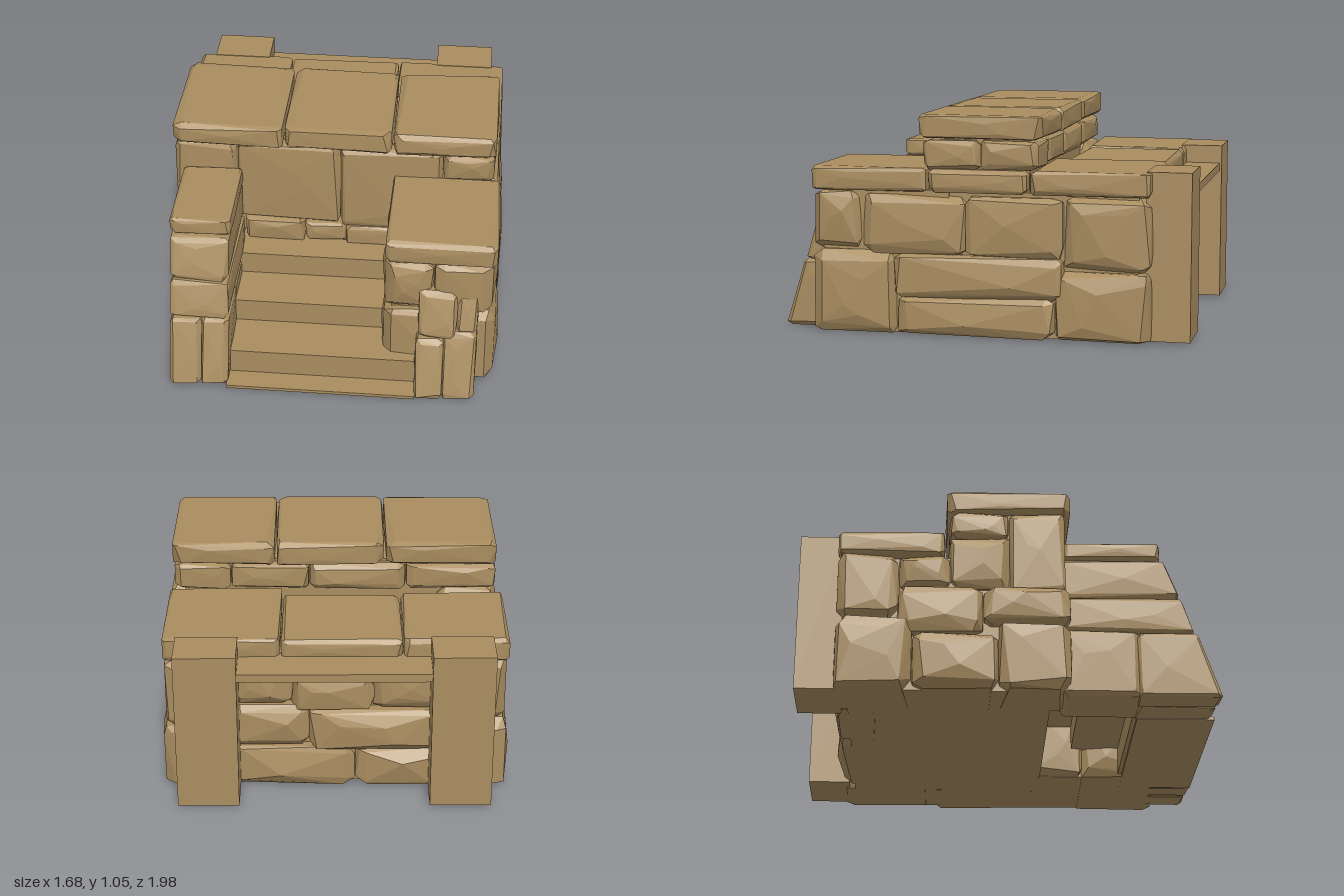
import * as THREE from 'three';
import { ConvexGeometry } from 'three/addons/geometries/ConvexGeometry.js';

export function createModel() {
  const model = new THREE.Group();
  const sandstone = new THREE.MeshStandardMaterial({ color: 0xa98d60, flatShading: true });
  sandstone.name = 'sandstone';

  let seed = 7;
  const rand = () => {
    seed = (seed * 16807) % 2147483647;
    return seed / 2147483647;
  };

  const add = (parent, name, geometry) => {
    const mesh = new THREE.Mesh(geometry, sandstone);
    mesh.name = name;
    parent.add(mesh);
  };

  const group = (name) => {
    const g = new THREE.Group();
    g.name = name;
    model.add(g);
    return g;
  };

  // Plain dressed block between two corners
  const block = (parent, name, x0, x1, y0, y1, z0, z1) => {
    const g = new THREE.BoxGeometry(x1 - x0, y1 - y0, z1 - z0);
    g.translate((x0 + x1) / 2, (y0 + y1) / 2, (z0 + z1) / 2);
    add(parent, name, g);
  };

  // Rough hewn stone: unevenly chipped corners and slightly bulging faces.
  // lean pulls the front face back towards the top.
  const stone = (parent, name, [x0, x1, y0, y1, z0, z1, lean = 0], chip = 0.04, bulge = 0.012) => {
    const lo = [x0 + 0.004, y0 + 0.003, z0 + 0.004];
    const hi = [x1 - 0.004, y1 - 0.003, z1 - 0.004];
    const points = [];
    for (let corner = 0; corner < 8; corner++) {
      for (let axis = 0; axis < 3; axis++) {
        const p = [0, 1, 2].map((i) => {
          const top = (corner >> i) & 1;
          const inset = i === axis ? 0 : Math.min(chip, (hi[i] - lo[i]) * 0.22) * (0.2 + 0.8 * rand());
          return top ? hi[i] - inset : lo[i] + inset;
        });
        points.push(p);
      }
    }
    for (let axis = 0; axis < 3; axis++) {
      for (const side of [0, 1]) {
        if (axis === 1) continue;
        for (let k = 0; k < 3; k++) {
          const p = [0, 1, 2].map((i) => lo[i] + (hi[i] - lo[i]) * (0.2 + 0.6 * rand()));
          p[axis] = side ? hi[axis] + bulge * rand() : lo[axis] - bulge * rand();
          points.push(p);
        }
      }
    }
    const vectors = points.map(([x, y, z]) => {
      const t = (z - z0) / (z1 - z0);
      return new THREE.Vector3(x, y, z - lean * t * (y - y0) / (y1 - y0));
    });
    add(parent, name, new ConvexGeometry(vectors));
  };

  const stones = (groupName, name, list, chip, bulge) => {
    const g = group(groupName);
    for (const s of list) stone(g, name, s, chip, bulge);
  };

  // Solid filling behind the masonry
  const core = group('core');
  block(core, 'lowerCore', -0.75, 0.76, 0.004, 0.69, -0.75, 0.2);
  block(core, 'upperCore', -0.74, 0.73, 0.6, 0.94, -0.23, 0.2);
  block(core, 'rightWingCore', 0.32, 0.77, 0.004, 0.69, 0.15, 0.77);

  // Three slabs on top
  stones('topSlabs', 'topSlab', [
    [-0.79, -0.25, 0.93, 1.05, -0.3, 0.3],
    [-0.245, 0.28, 0.93, 1.05, -0.3, 0.3],
    [0.285, 0.785, 0.93, 1.05, -0.3, 0.3],
  ], 0.045, 0.008);

  // Raised middle wall
  stones('middleWall', 'wallStone', [
    [-0.79, -0.48, 0.5, 0.93, 0, 0.27], [-0.48, 0.03, 0.49, 0.935, 0, 0.27],
    [0.03, 0.53, 0.47, 0.935, 0, 0.27], [0.53, 0.78, 0.78, 0.93, 0, 0.28],
    [-0.45, -0.15, 0.36, 0.5, 0, 0.28], [-0.15, 0.06, 0.38, 0.49, 0, 0.28],
    [0.05, 0.33, 0.36, 0.48, 0, 0.28],
    [-0.79, -0.35, 0.79, 0.93, -0.28, 0], [-0.35, 0.12, 0.79, 0.93, -0.28, 0],
    [0.12, 0.5, 0.79, 0.93, -0.28, 0], [0.5, 0.78, 0.79, 0.93, -0.28, 0],
  ]);

  // Cap stones on the lower body
  stones('lowerCaps', 'capStone', [
    [-0.82, -0.32, 0.68, 0.8, -0.81, -0.3], [-0.32, 0.25, 0.68, 0.795, -0.81, -0.31],
    [0.25, 0.805, 0.68, 0.8, -0.81, -0.24], [0.4, 0.8, 0.68, 0.795, -0.23, 0.25],
    [0.285, 0.815, 0.68, 0.8, 0.25, 0.82],
  ], 0.03, 0.006);

  // Right flank
  stones('rightFlank', 'flankStone', [
    [0.28, 0.82, 0, 0.4, 0.4, 0.82], [0.5, 0.82, 0, 0.2, -0.36, 0.4],
    [0.5, 0.815, 0, 0.33, -0.81, -0.36], [0.5, 0.825, 0.18, 0.39, -0.4, 0.42],
    [0.52, 0.8, 0.4, 0.68, 0.57, 0.82], [0.285, 0.52, 0.4, 0.68, 0.52, 0.81],
    [0.5, 0.805, 0.38, 0.67, 0.05, 0.57], [0.5, 0.81, 0.38, 0.67, -0.4, 0.07],
    [0.5, 0.8, 0.33, 0.68, -0.81, -0.4],
    [0.28, 0.6, 0, 0.41, 0.15, 0.42], [0.285, 0.6, 0.4, 0.69, 0.15, 0.53],
  ], 0.055, 0.02);

  // Left flank
  stones('leftFlank', 'flankStone', [
    [-0.82, -0.5, 0, 0.36, -0.81, -0.45], [-0.825, -0.5, 0, 0.28, -0.45, -0.05],
    [-0.82, -0.5, 0, 0.34, -0.05, 0.29], [-0.81, -0.5, 0.36, 0.69, -0.81, -0.52],
    [-0.82, -0.5, 0.28, 0.52, -0.52, -0.12], [-0.82, -0.5, 0.33, 0.52, -0.12, 0.29],
    [-0.8, -0.5, 0.52, 0.69, -0.52, -0.28], [-0.79, -0.5, 0.52, 0.8, -0.28, 0.02],
  ], 0.055, 0.02);

  // Rear wall between the posts
  stones('rearWall', 'rearStone', [
    [-0.5, -0.1, 0, 0.2, -0.81, -0.6], [-0.1, 0.5, 0, 0.22, -0.81, -0.6],
    [-0.5, 0.12, 0.2, 0.42, -0.82, -0.6], [0.12, 0.5, 0.22, 0.45, -0.82, -0.6],
    [-0.5, -0.18, 0.42, 0.68, -0.81, -0.6], [-0.18, 0.2, 0.42, 0.6, -0.82, -0.6],
    [-0.18, 0.2, 0.6, 0.69, -0.81, -0.6], [0.2, 0.5, 0.45, 0.69, -0.81, -0.6],
  ], 0.06, 0.03);

  // Rear posts and the lintel joining them
  const rear = group('rearFrame');
  for (const s of [-1, 1]) {
    const x = s * 0.595;
    block(rear, 'rearPost', x - 0.145, x + 0.145, 0.01, 0.8, -0.99, -0.78);
  }
  block(rear, 'lintel', -0.46, 0.46, 0.67, 0.71, -0.98, -0.76);

  // Left wing, leaning back towards its cap
  stones('leftWing', 'wingStone', [
    [-0.745, -0.45, 0.705, 0.8, 0.25, 0.725],
    [-0.74, -0.455, 0.5, 0.71, 0.25, 0.82, 0.075],
    [-0.74, -0.45, 0.33, 0.51, 0.25, 0.88, 0.06],
    [-0.74, -0.45, 0, 0.335, 0.25, 0.62],
    [-0.74, -0.58, 0, 0.33, 0.6, 1, 0.11],
    [-0.59, -0.45, 0, 0.33, 0.6, 0.985, 0.11],
  ], 0.03, 0.008);

  // Small leaning stones in front of the right wing
  stones('rightButtress', 'buttressStone', [
    [0.44, 0.58, 0, 0.3, 0.72, 1, 0.1], [0.57, 0.735, 0, 0.34, 0.72, 0.99, 0.11],
    [0.45, 0.635, 0.3, 0.535, 0.72, 0.9, 0.07], [0.63, 0.735, 0.33, 0.52, 0.72, 0.88, 0.06],
  ], 0.035, 0.008);

  // Stairs
  const stairs = group('stairs');
  block(stairs, 'doorSill', -0.46, 0.45, 0.002, 0.018, 0.62, 0.99);
  block(stairs, 'lowerStep', -0.46, 0.45, 0.018, 0.145, 0.6, 0.88);
  block(stairs, 'middleStep', -0.46, 0.3, 0.145, 0.265, 0.36, 0.64);
  block(stairs, 'upperStep', -0.46, 0.3, 0.265, 0.38, 0.15, 0.41);

  return model;
}
